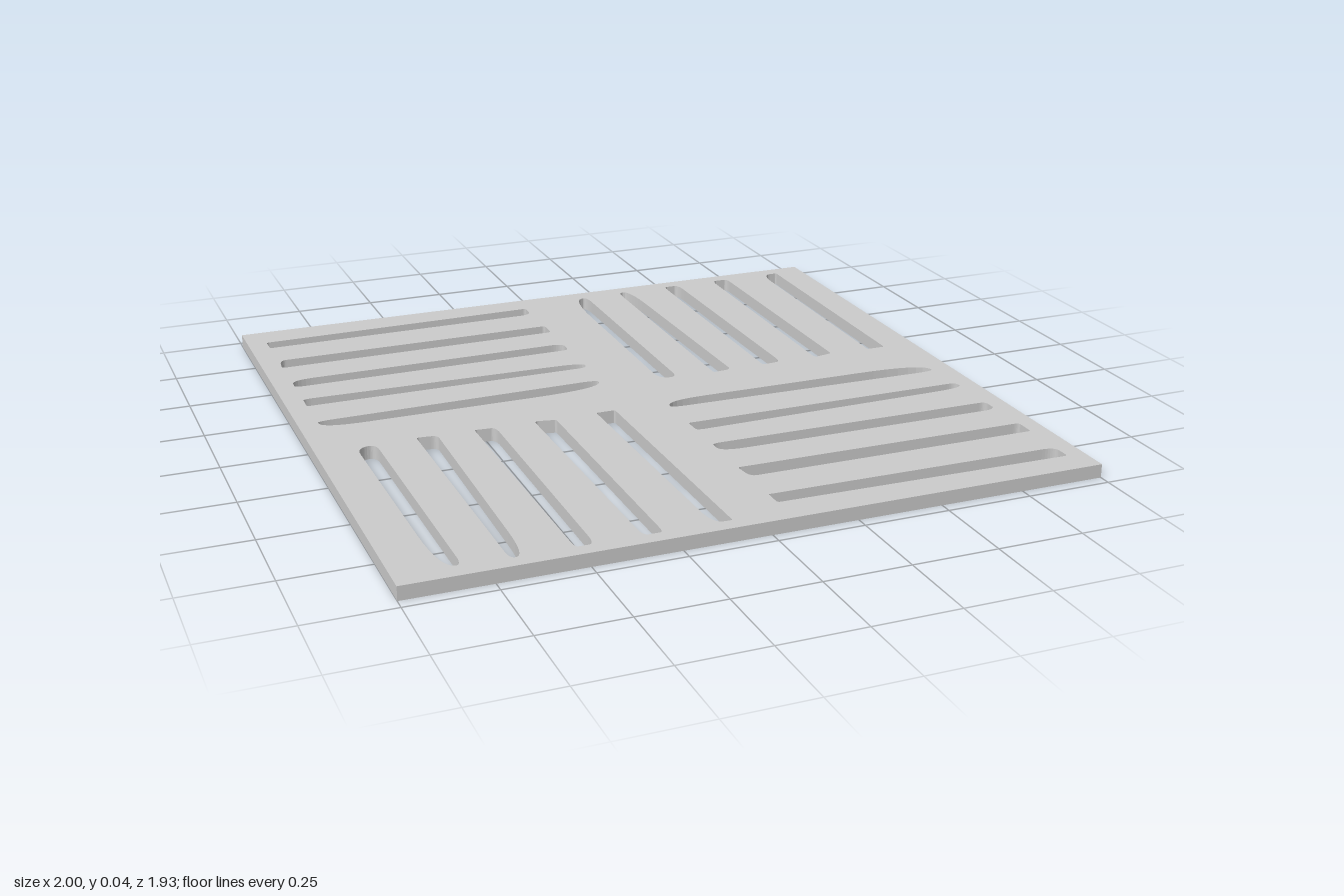
import * as THREE from 'three';

// Each slot: back-left, back-right, front-right, front-left corner as
// [x, z, rounding along x, rounding along z]
const crosswiseSlots = [
  [[-.94, -.863, .01, .01], [-.055, -.878, .01, .01], [-.055, -.815, .04, .025], [-.94, -.808, .005, .005]],
  [[-.935, -.682, .02, .03], [-.052, -.686, .01, .01], [-.052, -.622, .02, .01], [-.942, -.615, .01, .01]],
  [[-.94, -.495, .08, .03], [-.055, -.502, .04, .025], [-.055, -.442, .02, .02], [-.94, -.435, .03, .01]],
  [[-.94, -.327, .03, .01], [-.055, -.312, .1, .02], [-.055, -.27, .03, .02], [-.942, -.268, .01, .01]],
  [[-.94, -.138, .05, .01], [-.065, -.154, .06, .012], [-.072, -.088, .22, .05], [-.94, -.084, .14, .04]],
];
const lengthwiseSlots = [
  [[.125, -.91, .04, .2], [.18, -.91, .015, .05], [.175, -.095, .02, .04], [.117, -.095, .04, .05]],
  [[.3, -.92, .015, .04], [.342, -.92, .025, .15], [.355, -.092, .02, .02], [.294, -.086, .01, .01]],
  [[.472, -.92, .01, .03], [.525, -.92, .015, .05], [.528, -.097, .015, .04], [.465, -.092, .01, .01]],
  [[.656, -.92, .015, .04], [.712, -.92, .01, .03], [.71, -.105, .005, .01], [.646, -.092, .015, .02]],
  [[.85, -.918, .03, .08], [.905, -.92, .005, .01], [.896, -.097, .005, .01], [.837, -.097, .005, .01]],
];

// Rounded four-sided outline, optionally shifted in x and mirrored in z
function slotPath(corners, shift, flip) {
  const points = corners.map(([x, z]) => new THREE.Vector2(x + shift, -z * flip));
  const path = new THREE.Path();
  points.forEach((corner, i) => {
    const [, , rx, rz] = corners[i];
    const toward = (other, r) => corner.clone().add(other.clone().sub(corner).setLength(r));
    const start = toward(points[(i + 3) % 4], i % 2 ? rx : rz);
    const end = toward(points[(i + 1) % 4], i % 2 ? rz : rx);
    if (i === 0) path.moveTo(start.x, start.y);
    else path.lineTo(start.x, start.y);
    path.quadraticCurveTo(corner.x, corner.y, end.x, end.y);
  });
  path.closePath();
  return path;
}

export function createModel() {
  const group = new THREE.Group();
  group.name = 'ventGrate';
  const width = 2, depth = 1.93, thickness = 0.04;

  // Rectangular plate
  const plate = new THREE.Shape();
  plate.moveTo(-width / 2, -depth / 2);
  plate.lineTo(width / 2, -depth / 2);
  plate.lineTo(width / 2, depth / 2);
  plate.lineTo(-width / 2, depth / 2);
  plate.closePath();

  // Basket-weave slots: the front quarters repeat the back ones, mirrored and swapped
  for (const slot of crosswiseSlots) plate.holes.push(slotPath(slot, 0, 1), slotPath(slot, 1, -1));
  for (const slot of lengthwiseSlots) plate.holes.push(slotPath(slot, 0, 1), slotPath(slot, -1, -1));

  const geometry = new THREE.ExtrudeGeometry(plate, { depth: thickness, bevelEnabled: false, curveSegments: 8 });
  geometry.rotateX(-Math.PI / 2);
  const mesh = new THREE.Mesh(geometry, new THREE.MeshStandardMaterial({ color: 0xcccccc }));
  mesh.name = 'slottedPlate';
  group.add(mesh);
  return group;
}
